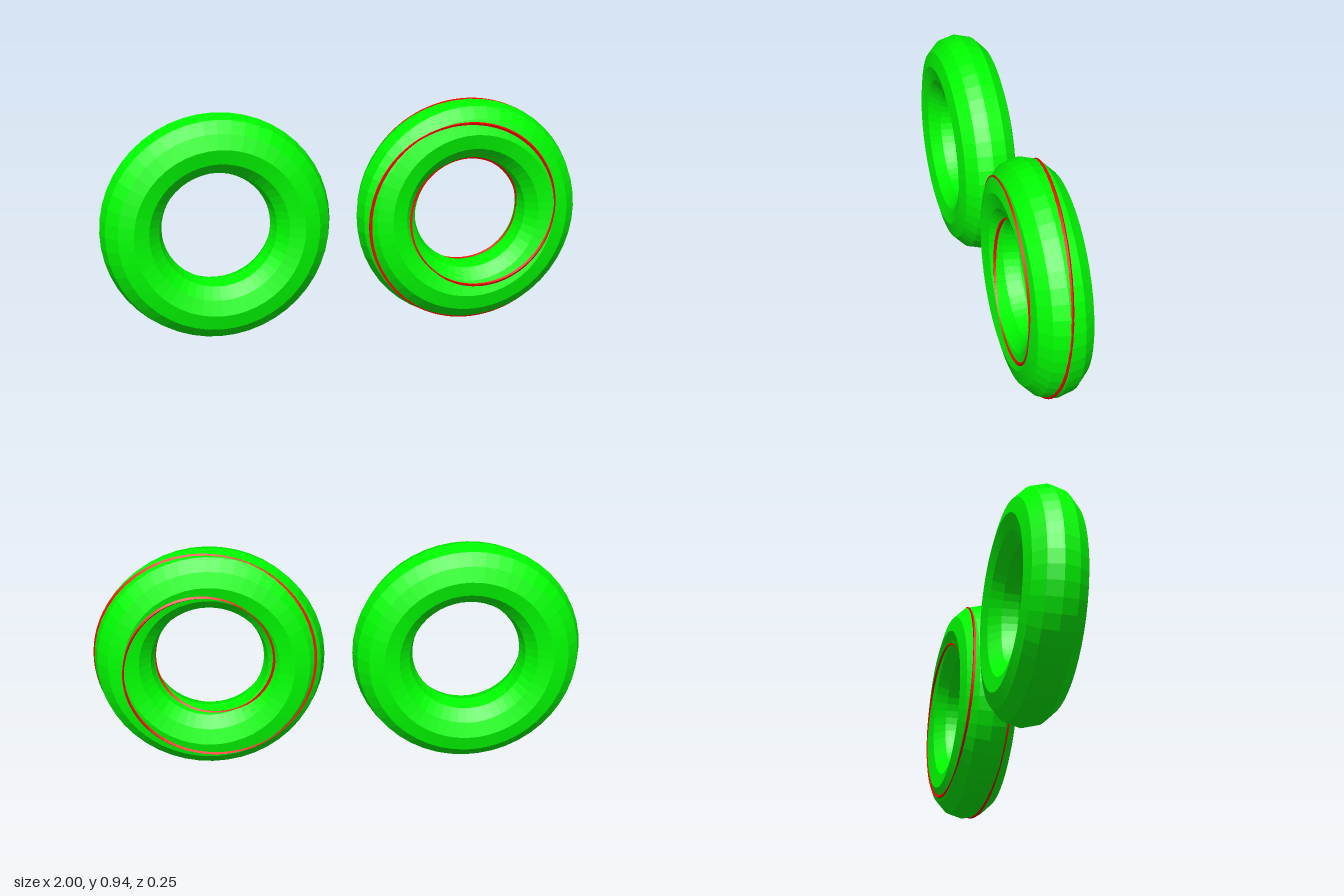
import * as THREE from 'three';

const RING = 0.346;      // radius of the ring's centre line
const TUBE = 0.1242;     // radius of the ring's body
const CORNER = 0.1268;   // centre line to corner of the twisted core
const CENTRE_Y = 0.4715;

// Square-section ring that makes a quarter twist in one turn, so it closes on itself
function twistedCore() {
  const geometry = new THREE.TorusGeometry(RING, CORNER, 4, 192);
  const { position, uv } = geometry.attributes;
  for (let i = 0; i < position.count; i++) {
    const u = uv.getX(i) * Math.PI * 2;
    const v = uv.getY(i) * Math.PI * 2 - u / 4;
    const r = RING + CORNER * Math.cos(v);
    position.setXYZ(i, r * Math.cos(u), r * Math.sin(u), CORNER * Math.sin(v));
  }
  geometry.computeVertexNormals();
  return geometry;
}

export function createModel() {
  const model = new THREE.Group();
  const green = new THREE.MeshStandardMaterial({ color: 0x00ff00, flatShading: true });
  const red = new THREE.MeshStandardMaterial({ color: 0xff0000, flatShading: true });

  const add = (name, geometry, material, x) => {
    const mesh = new THREE.Mesh(geometry, material);
    mesh.name = name;
    mesh.position.set(x, CENTRE_Y, 0);
    model.add(mesh);
  };

  // Two equal faceted rings side by side
  const ring = new THREE.TorusGeometry(RING, TUBE, 12, 48);
  add('rightRing', ring, green, -0.53);
  add('leftRing', ring, green, 0.525);

  // Core inside the left ring; only its corners break the surface as a fine spiral
  add('twistedCore', twistedCore(), red, 0.525);

  return model;
}
